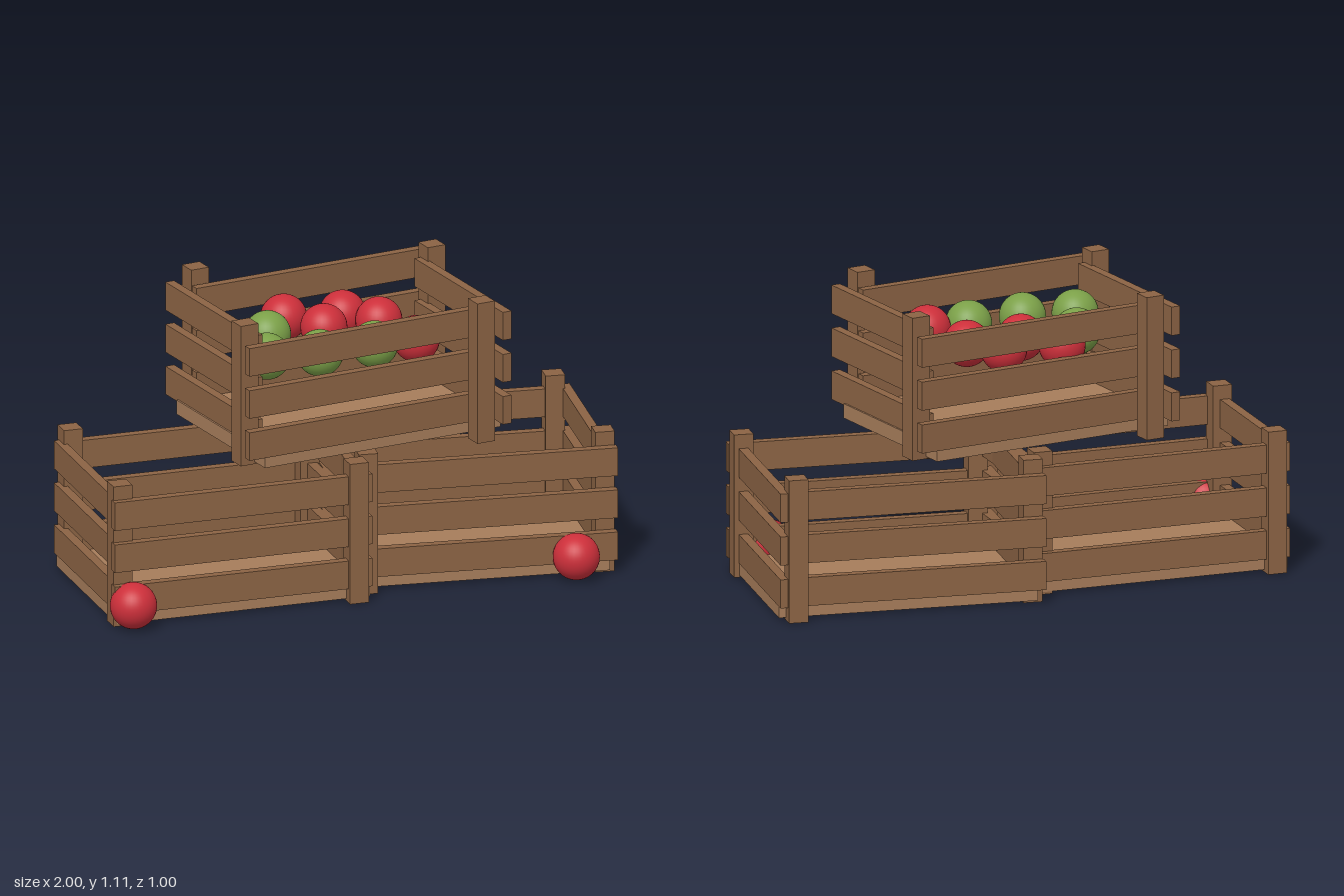
import * as THREE from 'three';

const wood = new THREE.MeshStandardMaterial({ color: 0x8b6344 });
const floorWood = new THREE.MeshStandardMaterial({ color: 0xa67c5a });
const red = new THREE.MeshStandardMaterial({ color: 0xcc2f3a });
const green = new THREE.MeshStandardMaterial({ color: 0x7ba048 });

const WIDTH = 0.983, DEPTH = 0.688, HEIGHT = 0.545;
const POST = 0.073, SLAT_H = 0.109, SLAT_T = 0.036;

// Crate whose boards are each turned about their own centre
function crate(name, x, y, z, angle) {
  const group = new THREE.Group();
  group.name = name;
  group.position.set(x, y, z);
  const board = (part, w, h, d, px, py, pz, material = wood) => {
    const mesh = new THREE.Mesh(new THREE.BoxGeometry(w, h, d), material);
    mesh.name = part;
    mesh.position.set(px, py, pz);
    mesh.rotation.y = angle;
    group.add(mesh);
  };

  board('floor', WIDTH, 0.055, DEPTH, 0, 0.0364, 0, floorWood);

  // Corner posts
  for (const sx of [-1, 1])
    for (const sz of [-1, 1])
      board('cornerPost', POST, HEIGHT, POST, sx * 0.453, HEIGHT / 2, sz * 0.328);

  // Three rows of slats on all four sides
  for (const sy of [0.109, 0.273, 0.437])
    for (const s of [-1, 1]) {
      board(s > 0 ? 'frontSlat' : 'backSlat', WIDTH, SLAT_H, SLAT_T, 0, sy, s * 0.351);
      board(s > 0 ? 'leftSlat' : 'rightSlat', SLAT_T, SLAT_H, DEPTH, s * 0.477, sy, 0);
    }
  return group;
}

export function createModel() {
  const model = new THREE.Group();
  model.name = 'stackedFruitCrates';

  model.add(
    crate('lowerRightCrate', -0.49, 0, 0.01, 0.046),
    crate('lowerLeftCrate', 0.481, 0, -0.08, -0.07),
    crate('upperCrate', 0, 0.567, -0.026, 0.211)
  );

  // Fruit: two on the ground, nine in the upper crate
  const fruit = new THREE.SphereGeometry(0.087, 32, 24);
  const addFruit = (name, material, x, y, z) => {
    const mesh = new THREE.Mesh(fruit, material);
    mesh.name = name;
    mesh.position.set(x, y, z);
    model.add(mesh);
  };
  addFruit('groundApple', red, -0.912, 0.089, 0.412);
  addFruit('groundApple', red, 0.806, 0.089, 0.338);
  for (const [x, z] of [[-0.145, -0.25], [0.075, -0.232], [-0.033, -0.105], [0.183, -0.123], [0.257, 0.117]])
    addFruit('redApple', red, x, 0.917, z);
  for (const [x, z] of [[-0.254, -0.088], [-0.326, 0.152], [-0.128, 0.17], [0.093, 0.132]])
    addFruit('greenApple', green, x, 0.917, z);

  return model;
}
